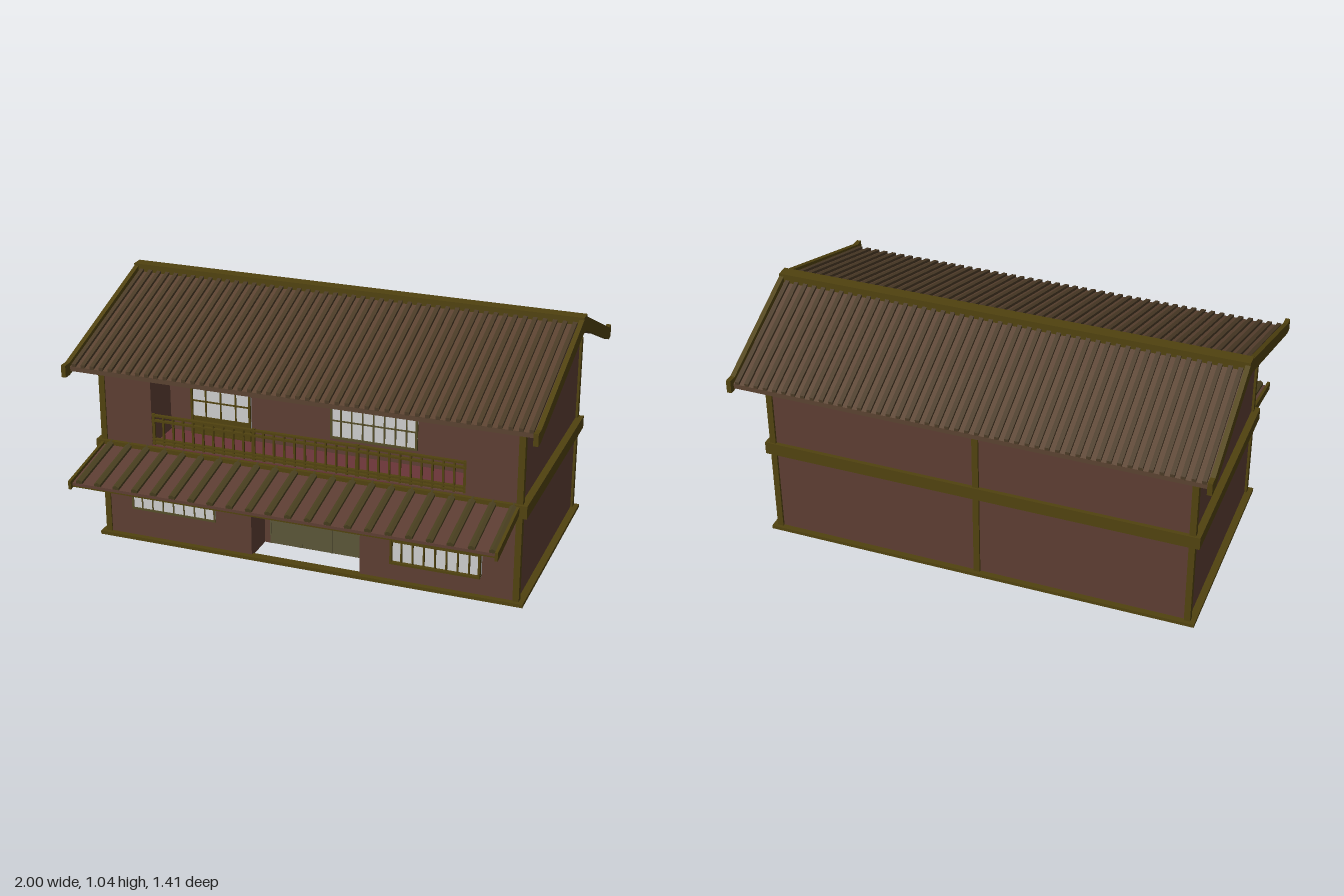
import * as THREE from 'three';

const mat = (color) => new THREE.MeshStandardMaterial({ color, flatShading: true, side: THREE.DoubleSide });

export function createModel() {
  const model = new THREE.Group();
  const wall = mat(0x5c3d32), wood = mat(0x50420f), tile = mat(0x5a4230), rib = mat(0x4a3a26);
  const glass = mat(0xcccccc), door = mat(0x5a5538), deck = mat(0x6a3538), awningTile = mat(0x5c3d32);
  const tatami = mat(0x3c3a1c), awningRib = mat(0x4a4020), frameMat = mat(0x544c28);

  const group = (name, parent = model) => {
    const g = new THREE.Group();
    g.name = name;
    parent.add(g);
    return g;
  };
  const add = (parent, name, geo, m) => {
    const mesh = new THREE.Mesh(geo, m);
    mesh.name = name;
    parent.add(mesh);
    return mesh;
  };
  // Box given by its limits
  const box = (parent, name, m, x0, x1, y0, y1, z0, z1) => {
    const mesh = add(parent, name, new THREE.BoxGeometry(x1 - x0, y1 - y0, z1 - z0), m);
    mesh.position.set((x0 + x1) / 2, (y0 + y1) / 2, (z0 + z1) / 2);
    return mesh;
  };
  // Side profile of [z, y] points, extruded from x0 to x1
  const prism = (parent, name, m, pts, x0, x1) => {
    const shape = new THREE.Shape(pts.map((p) => new THREE.Vector2(p[0], p[1])));
    const geo = new THREE.ExtrudeGeometry(shape, { depth: x1 - x0, bevelEnabled: false });
    geo.rotateY(-Math.PI / 2).translate(x1, 0, 0);
    return add(parent, name, geo, m);
  };
  // Sloping slab from a to b, h thick upwards
  const slab = (parent, name, m, a, b, h, x0, x1) =>
    prism(parent, name, m, [a, b, [b[0], b[1] + h], [a[0], a[1] + h]], x0, x1);

  // Base and floors, leaving the porch open
  const base = group('base');
  box(base, 'frontSill', wood, -0.935, 0.935, 0, 0.015, 0.37, 0.408);
  box(base, 'backSill', wood, -0.935, 0.935, 0, 0.015, -0.565, -0.53);
  for (const s of [-1, 1]) {
    box(base, 'sideSill', wood, s * 0.9125 - 0.0225, s * 0.9125 + 0.0225, 0, 0.015, -0.53, 0.37);
    box(base, 'sideFloor', wall, s * 0.565 - 0.325, s * 0.565 + 0.325, 0.005, 0.012, -0.53, 0.37);
  }
  box(base, 'middleFloor', wall, -0.24, 0.24, 0.005, 0.012, -0.53, 0.24);
  box(base, 'matFloor', tatami, -0.24, 0.04, 0.003, 0.014, -0.53, -0.17);
  box(base, 'matFloor', tatami, -0.85, -0.24, 0.003, 0.014, -0.17, 0.18);

  // Walls
  const walls = group('walls');
  const gable = [[-0.54, 0.01], [0.385, 0.01], [0.385, 0.805], [-0.17, 0.985], [-0.54, 0.815]];
  for (const s of [-1, 1]) {
    prism(walls, 'gableWall', wall, gable, s * 0.895 - 0.01, s * 0.895 + 0.01);
    box(walls, 'lowerFrontWall', wall, s * 0.565 - 0.325, s * 0.565 + 0.325, 0.01, 0.45, 0.365, 0.385);
    box(walls, 'upperFrontWall', wall, s * 0.79 - 0.11, s * 0.79 + 0.11, 0.45, 0.81, 0.365, 0.385);
    box(walls, 'porchSide', wall, s * 0.245 - 0.005, s * 0.245 + 0.005, 0.01, 0.4, 0.24, 0.375);
    prism(walls, 'balconySide', wall, [[0.2, 0.44], [0.38, 0.44], [0.38, 0.81], [0.2, 0.865]],
      s * 0.685 - 0.005, s * 0.685 + 0.005);
  }
  box(walls, 'backWall', wall, -0.9, 0.9, 0.01, 0.815, -0.54, -0.52);
  box(walls, 'porchLintel', wall, -0.24, 0.24, 0.36, 0.45, 0.365, 0.385);
  box(walls, 'porchBack', wall, -0.24, 0.24, 0.01, 0.4, 0.225, 0.24);
  box(walls, 'porchCeiling', wall, -0.24, 0.24, 0.36, 0.37, 0.24, 0.38);
  box(walls, 'balconyBack', wall, -0.685, 0.685, 0.44, 0.865, 0.185, 0.2);
  box(walls, 'balconyFloor', deck, -0.68, 0.68, 0.435, 0.45, 0.2, 0.385);

  // Posts, girts and gable trim
  const frame = group('timberFrame');
  for (const s of [-1, 1]) {
    for (const z of [0.378, -0.537]) {
      box(frame, 'cornerPost', wood, s * 0.902 - 0.013, s * 0.902 + 0.013, 0.01, 0.81, z - 0.013, z + 0.013);
    }
    const x0 = s * 0.92 - 0.015, x1 = s * 0.92 + 0.015;
    box(frame, 'sideGirt', wood, x0, x1, 0.39, 0.445, -0.557, 0.402);
    slab(frame, 'gableTrim', wood, [0.39, 0.79], [-0.17, 0.965], 0.02, s * 0.902 - 0.01, s * 0.902 + 0.01);
    slab(frame, 'gableTrim', wood, [-0.55, 0.795], [-0.17, 0.965], 0.02, s * 0.902 - 0.01, s * 0.902 + 0.01);
  }
  box(frame, 'frontGirt', wood, -0.935, 0.935, 0.39, 0.445, 0.375, 0.402);
  box(frame, 'backGirt', wood, -0.935, 0.935, 0.39, 0.445, -0.557, -0.53);
  box(frame, 'backPost', wood, -0.013, 0.013, 0.01, 0.81, -0.55, -0.53);
  box(frame, 'backPlate', wood, -0.9, 0.9, 0.79, 0.81, -0.55, -0.53);
  box(frame, 'frontPlate', wood, -0.9, 0.9, 0.785, 0.805, 0.365, 0.392);

  // Main roof: two sheets, ribs, bargeboards and ridge
  const roof = group('roof');
  const ridge = [-0.17, 1.0];
  for (const eave of [[0.505, 0.785], [-0.68, 0.78]]) {
    slab(roof, 'roofSheet', tile, eave, ridge, 0.02, -0.985, 0.985);
    const ribs = group('roofRibs', roof);
    for (let i = 0; i < 48; i++) {
      const x = -0.9635 + i * 0.041;
      slab(ribs, 'roofRib', rib, [eave[0], eave[1] + 0.018], [ridge[0], ridge[1] + 0.018], 0.014, x - 0.009, x + 0.009);
    }
  }
  const rake = [[0.545, 0.77], [0.545, 0.822], [0.505, 0.822], [-0.145, 1.035], [-0.195, 1.035], [-0.665, 0.825],
    [-0.703, 0.825], [-0.703, 0.77], [-0.665, 0.77], [-0.195, 0.975], [-0.145, 0.975], [0.51, 0.77]];
  for (const s of [-1, 1]) prism(roof, 'bargeboard', wood, rake, s * 0.99 - 0.01, s * 0.99 + 0.01);
  box(roof, 'ridgeCap', wood, -1, 1, 1.005, 1.045, -0.198, -0.145);

  // Awning over the ground floor
  const awning = group('awning');
  slab(awning, 'awningSheet', awningTile, [0.69, 0.362], [0.385, 0.418], 0.012, -0.905, 0.895);
  for (const x of [-0.91, 0.892]) slab(awning, 'awningEnd', wood, [0.705, 0.35], [0.385, 0.405], 0.036, x, x + 0.012);
  box(awning, 'awningFascia', wood, -0.9, 0.892, 0.355, 0.37, 0.675, 0.688);
  box(awning, 'awningPurlin', wood, -0.9, 0.892, 0.366, 0.38, 0.59, 0.61);
  const slope = Math.atan2(0.056, 0.305);
  for (let i = 0; i < 22; i++) {
    const bar = add(awning, 'awningRib', new THREE.CylinderGeometry(0.016, 0.016, 0.31, 6), awningRib);
    bar.position.set(-0.868 + i * 0.0832, 0.405, 0.5375);
    bar.rotation.x = Math.PI / 2 + slope;
  }

  // Window: glass sheet, border and glazing bars; z is the face it sits on
  const windowUnit = (name, x0, x1, y0, y1, z, cols, bars, depth, m = frameMat) => {
    const g = group(name), t = 0.009;
    box(g, 'glass', glass, x0, x1, y0, y1, z, z + depth * 0.5);
    for (const x of [x0, x1 - t]) box(g, 'jamb', m, x, x + t, y0, y1, z, z + depth);
    for (const y of [y0, y1 - t]) box(g, 'rail', m, x0, x1, y, y + t, z, z + depth);
    for (let i = 1; i < cols; i++) {
      const x = x0 + (x1 - x0) * i / cols;
      box(g, 'mullion', m, x - 0.003, x + 0.003, y0, y1, z, z + depth * 0.8);
    }
    for (const y of bars) box(g, 'crossBar', m, x0, x1, y - 0.003, y + 0.003, z, z + depth * 0.8);
    return g;
  };
  windowUnit('lowerRightWindow', -0.787, -0.4, 0.138, 0.32, 0.384, 8, [0.235], 0.008);
  const bay = windowUnit('lowerLeftWindow', 0.378, 0.758, 0.1, 0.29, 0.384, 8, [0.2], 0.032, wood);
  box(bay, 'shutterBox', wall, 0.385, 0.755, 0.29, 0.318, 0.384, 0.414);
  windowUnit('upperLeftWindow', 0.045, 0.422, 0.52, 0.697, 0.199, 8, [0.6], 0.012);
  const balconyDoor = windowUnit('balconyDoor', -0.58, -0.308, 0.45, 0.7, 0.199, 4, [0.6], 0.016, wood);
  box(balconyDoor, 'lowerPanel', wood, -0.575, -0.312, 0.45, 0.53, 0.2, 0.212);
  box(balconyDoor, 'shutterBox', wall, -0.575, -0.45, 0.7, 0.722, 0.199, 0.215);

  // Entrance with three sliding leaves
  const entrance = group('entrance');
  box(entrance, 'doorHeader', door, -0.215, 0.21, 0.27, 0.287, 0.24, 0.258);
  for (let i = 0; i < 3; i++) {
    const x = -0.21 + i * 0.138;
    box(entrance, 'doorPanel', door, x, x + 0.138, 0.012, 0.135, 0.24, 0.252);
    box(entrance, 'doorGlass', glass, x, x + 0.138, 0.135, 0.27, 0.24, 0.248);
    for (const e of [x, x + 0.131]) box(entrance, 'doorStile', door, e, e + 0.007, 0.012, 0.27, 0.24, 0.254);
  }

  // Balcony railing
  const railing = group('balconyRailing');
  for (const y of [0.46, 0.475, 0.56, 0.582]) {
    box(railing, 'rail', wood, -0.68, 0.68, y - 0.004, y + 0.004, 0.37, 0.385);
  }
  for (let i = 0; i <= 30; i++) {
    const x = -0.675 + i * 0.045, w = i % 10 === 0 ? 0.007 : 0.004;
    box(railing, 'baluster', wood, x - w, x + w, 0.445, i % 10 === 0 ? 0.59 : 0.58, 0.373, 0.382);
  }
  return model;
}
